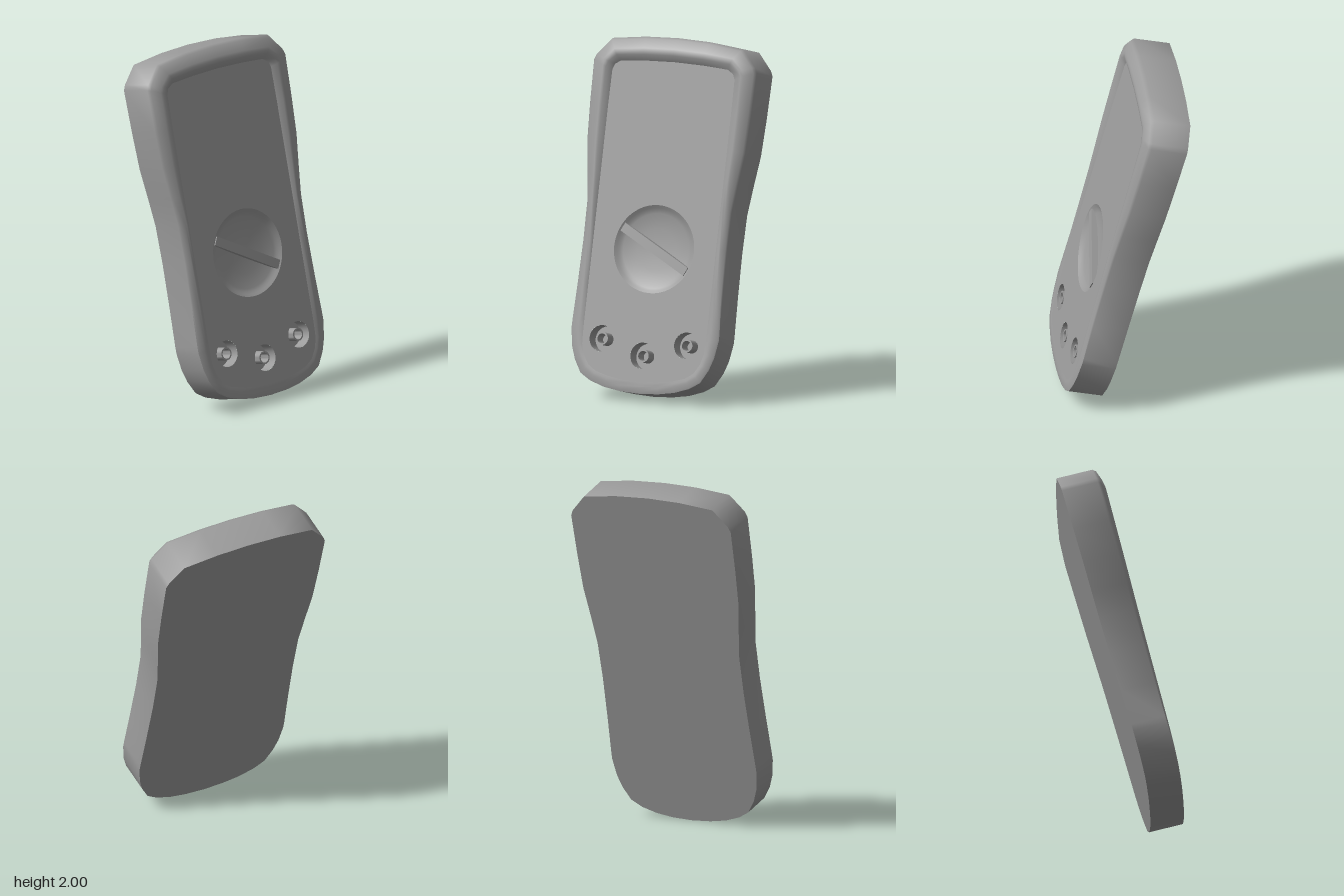
import * as THREE from 'three';
import { toCreasedNormals, mergeVertices } from 'three/addons/utils/BufferGeometryUtils.js';

const TILT = THREE.MathUtils.degToRad(14.5);
const PANEL = 0.361; // depth of the flat front panel
const DIAL = { y: 0.775, r: 0.25 };
const JACK_R = 0.075;
const JACKS = [[-0.265, 0.248], [0, 0.17], [0.265, 0.248]];

// Half outlines from bottom centre to top centre: outer case and inner panel edge
const outerHalf = [[0, -0.045], [0.12, -0.039], [0.22, -0.023], [0.31, 0.006], [0.375, 0.045],
  [0.42, 0.12], [0.445, 0.19], [0.462, 0.29], [0.462, 0.33], [0.455, 0.55], [0.45, 0.8],
  [0.453, 1.02], [0.472, 1.18], [0.496, 1.36], [0.505, 1.57], [0.51, 1.815], [0.497, 1.845],
  [0.41, 1.943], [0.2, 1.967], [0, 1.974]];
const innerHalf = [[0, 0.02], [0.11, 0.025], [0.2, 0.04], [0.28, 0.062], [0.33, 0.095],
  [0.365, 0.15], [0.382, 0.21], [0.385, 0.3], [0.385, 0.35], [0.385, 0.55], [0.385, 0.8],
  [0.385, 1.02], [0.385, 1.18], [0.385, 1.36], [0.385, 1.57], [0.383, 1.765], [0.37, 1.797],
  [0.335, 1.82], [0.18, 1.831], [0, 1.836]];

// Mirror a half outline into a closed counter-clockwise loop
const mirror = half => [...half, ...half.slice(1, -1).reverse().map(([x, y]) => [-x, y])]
  .map(([x, y]) => new THREE.Vector2(x, y));

const front = y => PANEL + 0.0155 * y;
const back = y => 0.16 - 0.012 * y;
const bevel = y => 0.004 + 0.0175 * Math.max(y, 0);

// Case shell rings: blend from outer to inner outline, and depth at each height
const rings = [
  [0, y => back(y)],
  [0, y => front(y) - bevel(y) * 1.2],
  [0.1, y => front(y) - bevel(y) * 0.7],
  [0.5, y => front(y) - bevel(y) * 0.1],
  [0.62, y => front(y)],
  [0.76, y => front(y) - 0.001 * y],
  [1, () => PANEL],
];

function shellGeometry(outer, inner) {
  const n = outer.length, pos = [], index = [];
  for (const [t, depth] of rings) {
    outer.forEach((p, i) => {
      const q = p.clone().lerp(inner[i], t);
      pos.push(q.x, q.y, depth(q.y));
    });
  }
  for (let r = 0; r < rings.length - 1; r++) {
    for (let i = 0; i < n; i++) {
      const a = r * n + i, b = r * n + (i + 1) % n;
      index.push(a, b, b + n, a, b + n, a + n);
    }
  }
  const g = new THREE.BufferGeometry();
  g.setAttribute('position', new THREE.Float32BufferAttribute(pos, 3));
  g.setIndex(index);
  return toCreasedNormals(g, 0.95);
}

// Recess turned around the panel normal, profile running from rim to axis
function recessGeometry(profile, segments) {
  const g = new THREE.LatheGeometry(profile.map(([x, y]) => new THREE.Vector2(x, y)), segments);
  g.rotateX(Math.PI / 2);
  g.deleteAttribute('normal');
  g.deleteAttribute('uv');
  return toCreasedNormals(mergeVertices(g), 0.6);
}

export function createModel() {
  const model = new THREE.Group();
  model.name = 'handheldMeter';
  const body = new THREE.Group();
  body.name = 'tiltedBody';
  body.rotation.x = -TILT;
  model.add(body);

  const material = new THREE.MeshStandardMaterial({ color: 0x9b9b9b });
  const add = (name, geometry, x = 0, y = 0, z = 0) => {
    const mesh = new THREE.Mesh(geometry, material);
    mesh.name = name;
    mesh.position.set(x, y, z);
    body.add(mesh);
    return mesh;
  };

  const outer = mirror(outerHalf), inner = mirror(innerHalf);

  // Side walls and raised bezel
  add('caseShell', shellGeometry(outer, inner));

  // Flat back, slightly sloped
  const backGeo = new THREE.ShapeGeometry(new THREE.Shape(outer));
  const bp = backGeo.attributes.position;
  for (let i = 0; i < bp.count; i++) bp.setZ(i, back(bp.getY(i)));
  backGeo.index.array.reverse();
  backGeo.computeVertexNormals();
  add('backCover', backGeo);

  // Front panel with openings for the dial and the jacks
  const panel = new THREE.Shape(inner);
  const cut = (x, y, r) => panel.holes.push(new THREE.Path().absarc(x, y, r, 0, Math.PI * 2, true));
  cut(0, DIAL.y, DIAL.r);
  JACKS.forEach(([x, y]) => cut(x, y, JACK_R));
  add('frontPanel', new THREE.ShapeGeometry(panel, 24), 0, 0, PANEL);

  // Shallow dished dial recess with a diagonal grip bar
  add('dialRecess', recessGeometry(
    [[DIAL.r, 0], [0.235, -0.01], [0.222, -0.018], [0.205, -0.024], [0.12, -0.034], [0, -0.038]], 48),
    0, DIAL.y, PANEL);
  const grip = add('dialGrip', new THREE.BoxGeometry(0.475, 0.052, 0.05), 0, DIAL.y, PANEL - 0.025);
  grip.rotation.z = -0.49;

  // Round sockets with a hollow centre post
  const jack = recessGeometry([[JACK_R, 0], [JACK_R, -0.08], [0.037, -0.08], [0.037, -0.005],
    [0.028, -0.005], [0.028, -0.08], [0, -0.08]], 24);
  JACKS.forEach(([x, y], i) => add(`jackSocket${i + 1}`, jack, x, y, PANEL));

  return model;
}
